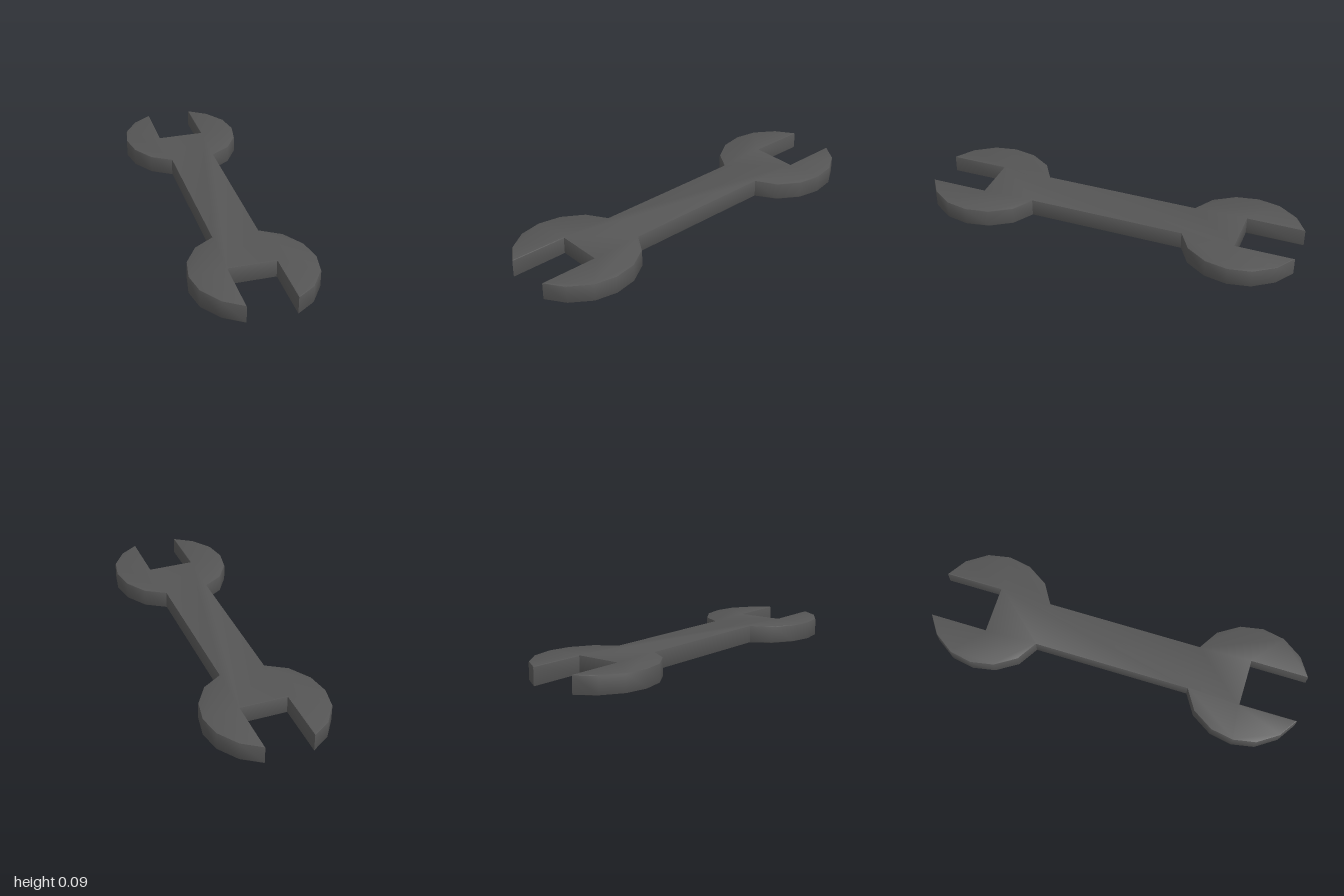
import * as THREE from 'three';
import { toCreasedNormals } from 'three/addons/utils/BufferGeometryUtils.js';

const HEIGHT = 0.095;
const BEVEL = 0.005;

// One quarter of the outline (x, z): handle neck, round jaw, tip, slot corner
const QUARTER = [
  [0.12, 0.415], [0.225, 0.48], [0.295, 0.59], [0.317, 0.71],
  [0.295, 0.828], [0.222, 0.935], [0.123, 1.0], [0.123, 0.695],
];

function outline() {
  const points = [];
  // Mirror the quarter around the four corners, alternating direction
  [[1, 1], [-1, 1], [-1, -1], [1, -1]].forEach(([sx, sz], i) => {
    const quarter = i % 2 ? [...QUARTER].reverse() : QUARTER;
    quarter.forEach(([x, z]) => points.push(new THREE.Vector2(sx * x, sz * z)));
  });
  return new THREE.Shape(points);
}

export function createModel() {
  const group = new THREE.Group();
  group.name = 'doubleEndedSpanner';

  // Flat body with lightly rounded rims
  const geometry = new THREE.ExtrudeGeometry(outline(), {
    depth: HEIGHT - 2 * BEVEL,
    bevelEnabled: true,
    bevelThickness: BEVEL,
    bevelSize: BEVEL,
    bevelOffset: -BEVEL,
    bevelSegments: 2,
  });
  geometry.rotateX(Math.PI / 2);
  geometry.translate(0, HEIGHT - BEVEL, 0);

  const body = new THREE.Mesh(
    toCreasedNormals(geometry, THREE.MathUtils.degToRad(38)),
    new THREE.MeshStandardMaterial({ color: 0x555555 }),
  );
  body.name = 'spannerBody';
  group.add(body);
  return group;
}
